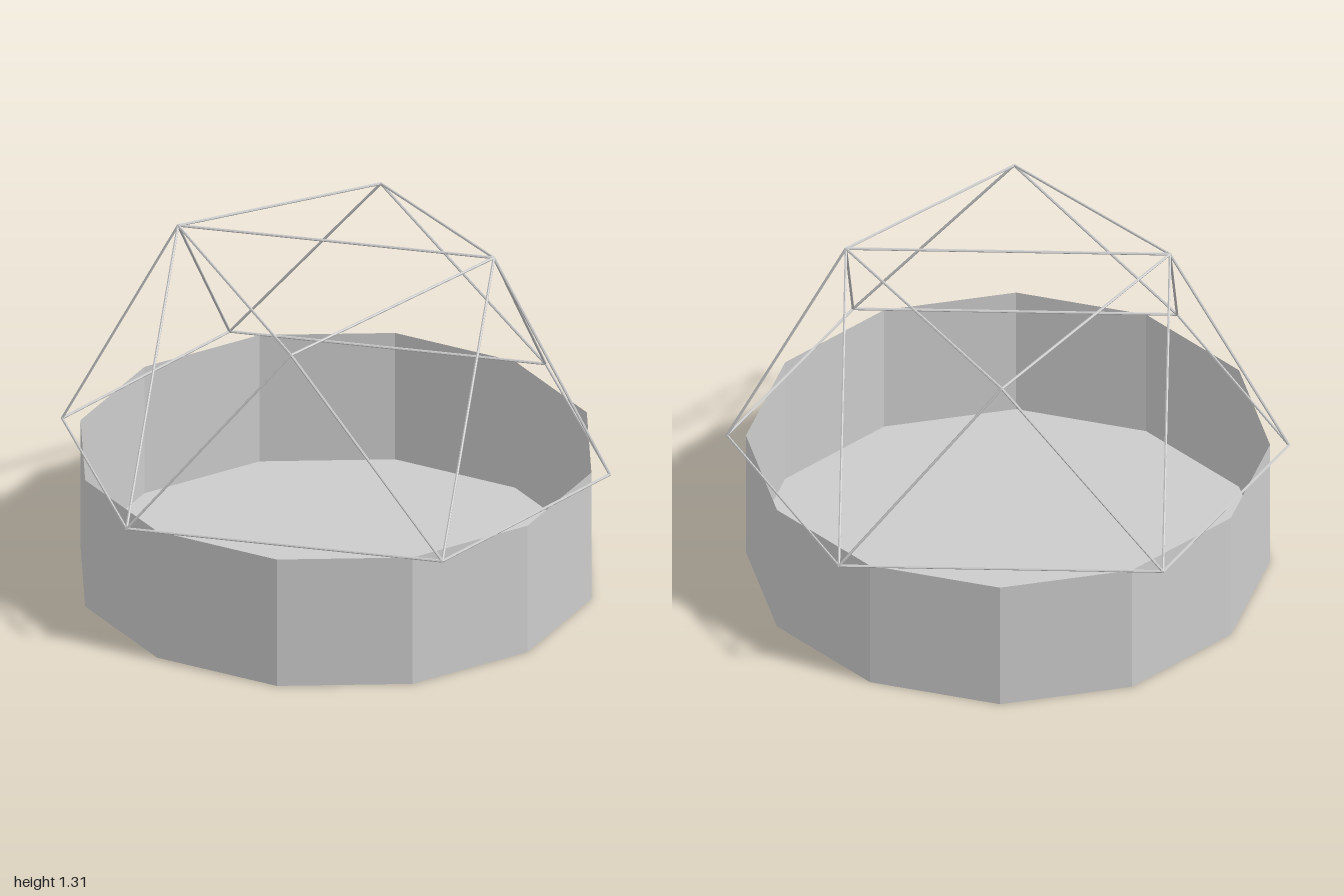
import * as THREE from 'three';

export function createModel() {
  const model = new THREE.Group();
  model.name = 'domedTub';
  const sheet = new THREE.MeshStandardMaterial({ color: 0xcccccc, flatShading: true, side: THREE.DoubleSide });
  const metal = new THREE.MeshStandardMaterial({ color: 0xcccccc, flatShading: true });
  const R = 0.93, H = 0.5, SIDES = 12;

  // Open twelve-sided tub: thin wall and floor
  const wall = new THREE.Mesh(new THREE.CylinderGeometry(R, R, H, SIDES, 1, true), sheet);
  wall.name = 'tubWall';
  wall.position.y = H / 2;
  const floor = new THREE.Mesh(new THREE.CircleGeometry(R, SIDES), sheet);
  floor.name = 'tubFloor';
  floor.rotation.x = Math.PI / 2;
  model.add(wall, floor);

  // Frame of thin struts resting on the rim
  const frame = new THREE.Group();
  frame.name = 'domeFrame';
  model.add(frame);
  const up = new THREE.Vector3(0, 1, 0);
  function strut(name, a, b) {
    const from = new THREE.Vector3(...a), to = new THREE.Vector3(...b);
    const dir = to.clone().sub(from);
    const mesh = new THREE.Mesh(new THREE.CylinderGeometry(0.005, 0.005, dir.length(), 6), metal);
    mesh.name = name;
    mesh.position.copy(from).add(to).multiplyScalar(0.5);
    mesh.quaternion.setFromUnitVectors(up, dir.normalize());
    frame.add(mesh);
  }

  const side = s => [s * 0.997, H, 0];
  const corner = (s, t) => [s * 0.575, H, t * 0.81];
  const top = s => [s * 0.575, 1.31, 0];
  const shoulder = t => [0, 1.2, t * 0.705];

  strut('ridgeStrut', top(-1), top(1));
  for (const s of [-1, 1]) {
    strut('sideStrut', side(s), top(s));
    strut('baseStrut', corner(-1, s), corner(1, s));
    for (const t of [-1, 1]) {
      strut('baseStrut', side(s), corner(s, t));
      strut('cornerStrut', corner(s, t), top(s));
      strut('lowerStrut', corner(s, t), shoulder(t));
      strut('upperStrut', top(s), shoulder(t));
    }
  }
  return model;
}
